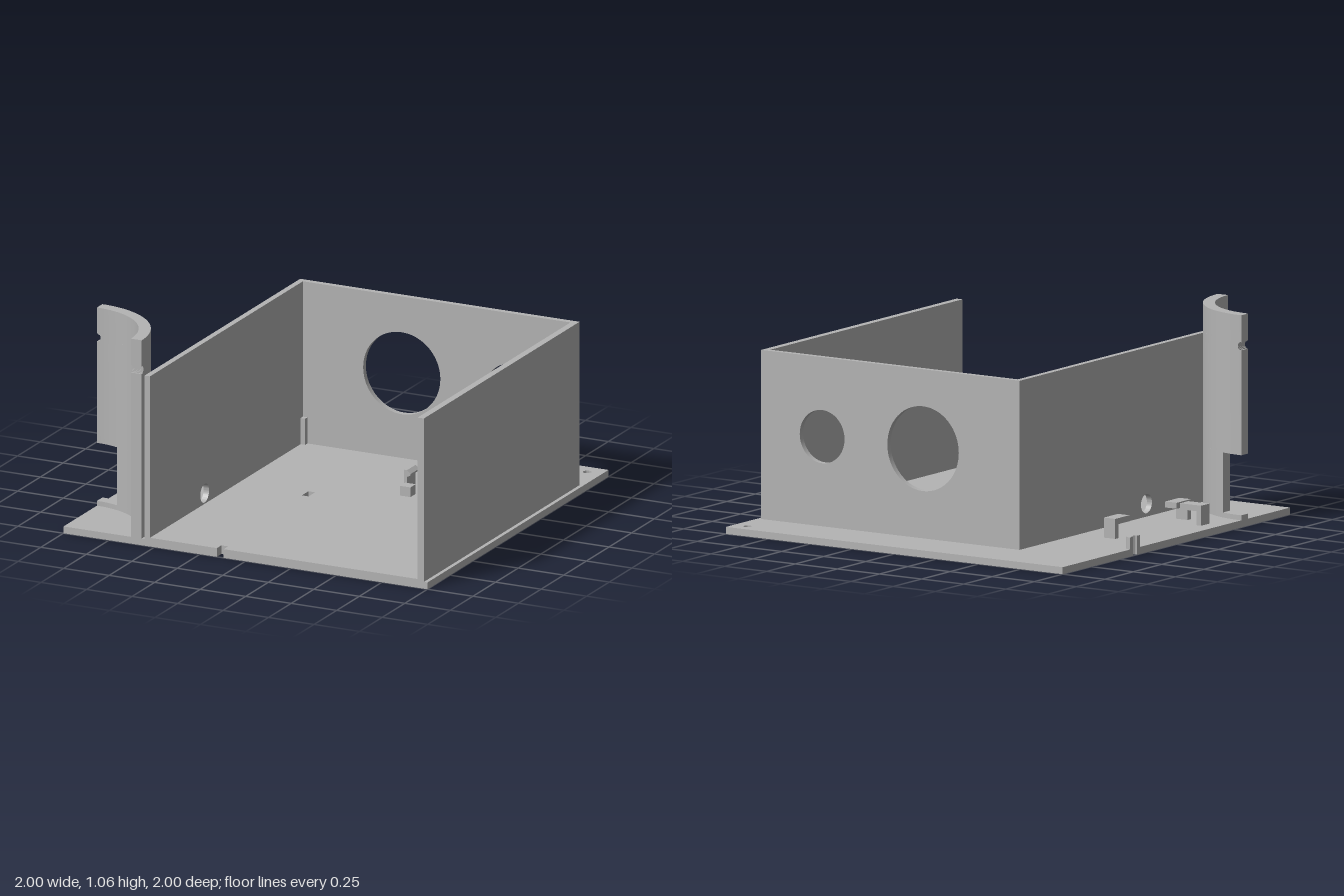
import * as THREE from 'three';
import { toCreasedNormals } from 'three/addons/utils/BufferGeometryUtils.js';

export function createModel() {
  const model = new THREE.Group();
  model.name = 'openEnclosure';
  const grey = new THREE.MeshStandardMaterial({ color: 0xb4b4b4 });
  grey.name = 'grey plastic';
  const BASE = 0.035, FLOOR = 0.045, TOP = 0.88;

  const add = (name, geometry, parent = model) => {
    const mesh = new THREE.Mesh(geometry, grey);
    mesh.name = name;
    parent.add(mesh);
    return mesh;
  };
  // Box from its min and max corners
  const box = (name, x0, x1, y0, y1, z0, z1, parent) => {
    const g = new THREE.BoxGeometry(x1 - x0, y1 - y0, z1 - z0);
    g.translate((x0 + x1) / 2, (y0 + y1) / 2, (z0 + z1) / 2);
    return add(name, g, parent);
  };
  const extrude = (shape, depth, curveSegments = 32) => toCreasedNormals(
    new THREE.ExtrudeGeometry(shape, { depth, bevelEnabled: false, curveSegments }), 0.5);
  // Plan shape (x, -z) raised from y0 to y1
  const plan = (name, shape, y0, y1, parent) =>
    add(name, extrude(shape, y1 - y0).rotateX(-Math.PI / 2).translate(0, y0, 0), parent);
  const polygon = pts => new THREE.Shape(pts.map(p => new THREE.Vector2(...p)));
  const circle = (x, y, r) => new THREE.Path().absarc(x, y, r, 0, Math.PI * 2, true);
  const slot = () => new THREE.Path([[-0.157, 0.01], [-0.157, -0.062], [-0.12, -0.062], [-0.12, 0.01]]
    .map(p => new THREE.Vector2(...p)));

  // Base plate with front notch, side notch, slot and corner hole
  const base = new THREE.Shape();
  base.moveTo(-1, -1);
  base.lineTo(-0.157, -1).lineTo(-0.157, -0.95).lineTo(-0.12, -0.95).lineTo(-0.12, -1);
  base.lineTo(1, -1).lineTo(1, 1).lineTo(-1, 1).lineTo(-1, 0.382);
  base.absarc(-1, 0.365, 0.017, Math.PI / 2, -Math.PI / 2, true);
  base.lineTo(-1, -1);
  base.holes.push(slot(), circle(0.92, 0.925, 0.021));
  plan('basePlate', base, 0, BASE);

  // Raised floor inside the walls
  const floor = polygon([[-0.525, -1], [-0.157, -1], [-0.157, -0.95], [-0.12, -0.95],
    [-0.12, -1], [0.945, -1], [0.945, 0.69], [-0.525, 0.69]]);
  floor.holes.push(slot());
  plan('innerFloor', floor, BASE, FLOOR);

  // Back wall with two round openings
  const back = polygon([[-0.555, BASE], [0.98, BASE], [0.98, TOP], [-0.555, TOP]]);
  back.holes.push(circle(0.018, 0.483, 0.212), circle(0.617, 0.483, 0.133));
  add('backWall', extrude(back, 0.03).translate(0, 0, -0.72));

  // Side walls, one with a cable hole
  box('plainSideWall', 0.945, 0.98, BASE, TOP, -0.69, 1);
  const side = polygon([[-1, BASE], [0.69, BASE], [0.69, TOP], [-1, TOP]]);
  side.holes.push(circle(-0.395, 0.1, 0.048));
  add('cableSideWall', extrude(side, 0.03).rotateY(Math.PI / 2).translate(-0.555, 0, 0));

  // Small ribs on the back wall
  box('cornerRib', -0.525, -0.5, FLOOR, 0.18, -0.69, -0.665);
  box('middleRib', 0.225, 0.255, FLOOR, 0.18, -0.69, -0.665);

  // Quarter tube stacked in layers; cutX and cutZ trim its two ends
  const tube = new THREE.Group();
  tube.name = 'quarterTube';
  model.add(tube);
  const R = 0.43, r = 0.37;
  const tubeLayer = (y0, y1, cutX = 0, cutZ = 0) => {
    const pts = [], n = 32;
    for (const [rad, reverse] of [[R, false], [r, true]]) {
      const a0 = Math.asin(cutZ / rad), a1 = Math.acos(cutX / rad);
      for (let i = 0; i <= n; i++) {
        const t = reverse ? 1 - i / n : i / n;
        const a = a0 + (a1 - a0) * t;
        pts.push([-1 + rad * Math.cos(a), -1 + rad * Math.sin(a)]);
      }
    }
    plan('tubeSection', polygon(pts), y0, y1, tube);
  };
  tubeLayer(BASE, 0.06);
  tubeLayer(0.06, 0.36, 0.12);
  tubeLayer(0.36, 0.885);
  const steps = 8, pin = 0.02;
  for (let i = 0; i < steps; i++) { // half-round pin notches at both ends
    const y = -pin + (2 * pin * i) / steps, mid = y + pin / steps;
    const d = Math.sqrt(pin * pin - mid * mid);
    tubeLayer(0.905 + y, 0.905 + y + (2 * pin) / steps, d, d);
  }
  tubeLayer(0.925, 1.06);

  // Half-ring post around the side notch
  const ring = new THREE.Shape();
  ring.absarc(-1, 0.365, 0.044, -Math.PI / 2, Math.PI / 2, false);
  ring.absarc(-1, 0.365, 0.017, Math.PI / 2, -Math.PI / 2, true);
  plan('notchPost', ring, BASE, 0.095);

  // Cable hooks on the outer shelf: a leg and an overhanging bar
  const hook = (name, x0, x1, z0, z1, leg) => {
    const g = new THREE.Group();
    g.name = name;
    model.add(g);
    box('hookBar', x0, x1, 0.105, 0.135, z0, z1, g);
    box('hookLeg', ...leg.slice(0, 2), BASE, 0.105, ...leg.slice(2), g);
  };
  hook('rearCableHook', -0.775, -0.707, -0.205, -0.08, [-0.775, -0.707, -0.205, -0.175]);
  hook('frontCableHook', -0.775, -0.707, 0.335, 0.46, [-0.775, -0.707, 0.43, 0.46]);
  hook('sideCableHook', -0.92, -0.795, 0.335, 0.407, [-0.92, -0.893, 0.335, 0.407]);

  // Board supports
  for (const x of [0.305, 0.833])
    for (const z of [-0.42, -0.18])
      box('boardSupport', x - 0.029, x + 0.029, FLOOR, 0.095, z - 0.029, z + 0.029);

  // Snap clips whose barbs point at the middle of the board
  const clipProfile = polygon([[0, 0], [0.018, 0], [0.018, 0.065], [0.038, 0.075], [0.038, 0.083],
    [0.018, 0.1], [0, 0.1]]);
  const clip = (x, z, angle) => {
    const m = add('snapClip', extrude(clipProfile, 0.095).translate(0, 0, -0.0475));
    m.position.set(x, FLOOR, z);
    m.rotation.y = angle;
  };
  clip(0.247, -0.3, 0);
  clip(0.893, -0.3, Math.PI);
  clip(0.568, -0.492, -Math.PI / 2);
  clip(0.568, -0.108, Math.PI / 2);

  return model;
}
